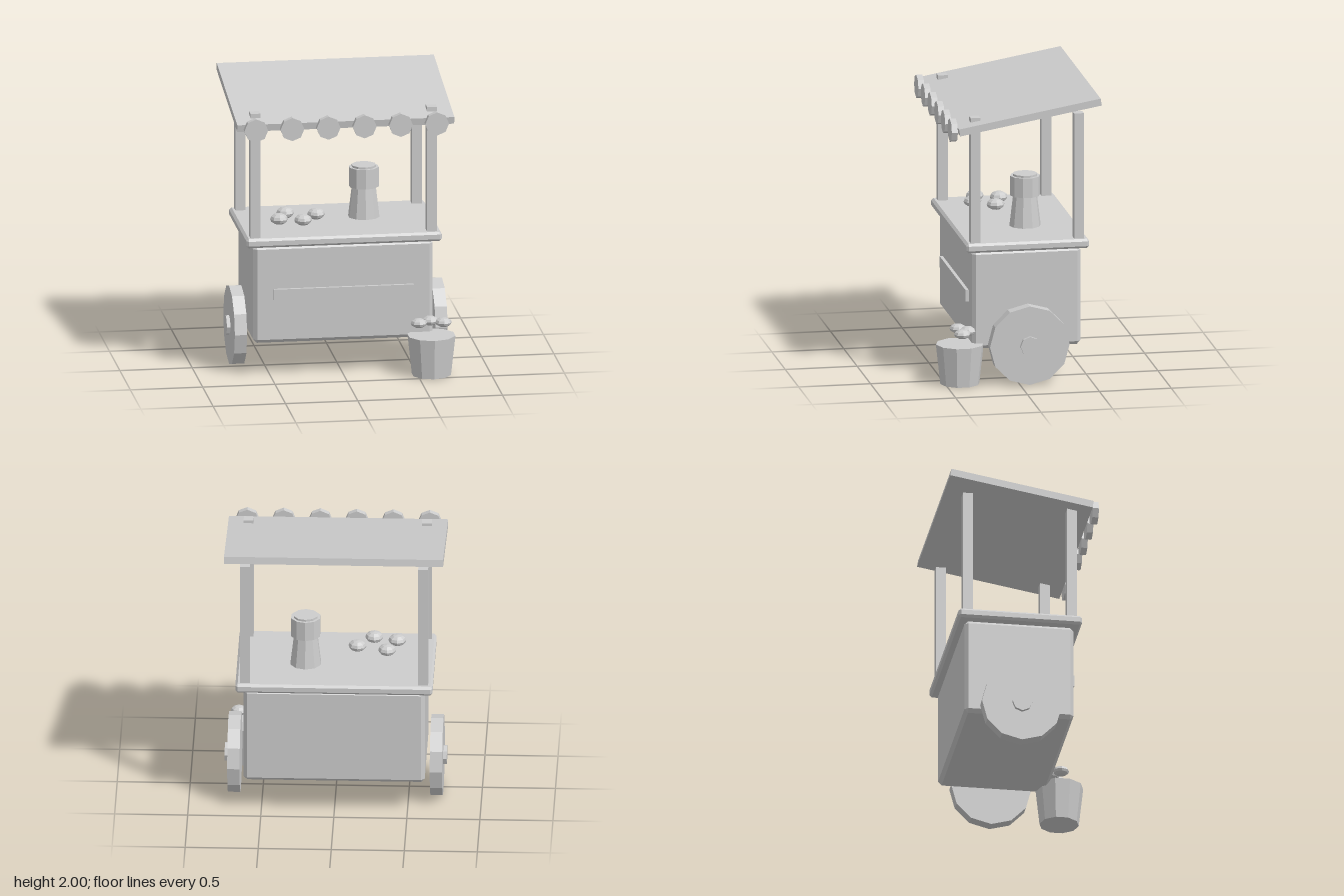
import * as THREE from 'three';
import { ConvexGeometry } from 'three/addons/geometries/ConvexGeometry.js';

const grey = new THREE.MeshStandardMaterial({ color: 0xcccccc, flatShading: true });
grey.name = 'plain grey';

// Box with chamfered edges, from three points at each corner
function chamferBox(w, h, d, c) {
  const points = [];
  for (const x of [-1, 1]) for (const y of [-1, 1]) for (const z of [-1, 1]) {
    for (const k of [0, 1, 2]) {
      points.push(new THREE.Vector3(
        x * (w / 2 - (k === 0 ? 0 : c)),
        y * (h / 2 - (k === 1 ? 0 : c)),
        z * (d / 2 - (k === 2 ? 0 : c))));
    }
  }
  return new ConvexGeometry(points);
}

export function createModel() {
  const group = new THREE.Group();
  group.name = 'vendorCart';

  const add = (name, geometry, x, y, z, parent = group) => {
    const mesh = new THREE.Mesh(geometry, grey);
    mesh.name = name;
    mesh.position.set(x, y, z);
    parent.add(mesh);
    return mesh;
  };
  const box = (w, h, d) => new THREE.BoxGeometry(w, h, d);
  const cyl = (top, bottom, h, sides) => new THREE.CylinderGeometry(top, bottom, h, sides);

  const midZ = -0.065;

  // Cart body, counter and front strip
  add('body', chamferBox(1.24, 0.69, 0.755, 0.025), 0, 0.585, midZ);
  add('counter', chamferBox(1.35, 0.065, 0.855, 0.016), 0, 0.962, midZ);
  add('frontStrip', box(0.97, 0.08, 0.04), 0, 0.585, 0.315);

  // Wheels with hubs
  for (const side of [-1, 1]) {
    const wheel = new THREE.Group();
    wheel.name = side > 0 ? 'leftWheel' : 'rightWheel';
    wheel.position.set(side * 0.693, 0.277, midZ);
    group.add(wheel);
    add('wheelDisc', cyl(0.277, 0.277, 0.085, 12), 0, 0, 0, wheel).rotation.z = Math.PI / 2;
    add('hub', cyl(0.068, 0.068, 0.1, 8), side * 0.017, 0, 0, wheel).rotation.z = Math.PI / 2;
  }

  // Roof posts; the front pair pass through the roof
  for (const x of [-0.61, 0.61]) {
    add('frontPost', box(0.068, 0.89, 0.068), x, 1.432, 0.295);
    add('backPost', box(0.068, 0.89, 0.068), x, 1.432, -0.425);
  }

  // Sloping roof with a row of scallops
  add('roof', box(1.5, 0.05, 1.0), 0, 1.89, -0.067).rotation.x = 0.174;
  for (let i = 0; i < 6; i++) {
    add('scallop', cyl(0.082, 0.082, 0.042, 8), -0.625 + i * 0.25, 1.795, 0.451).rotation.x = Math.PI / 2;
  }

  // Drinks urn on the counter
  const urn = new THREE.Group();
  urn.name = 'urn';
  urn.position.set(0.205, 0, -0.13);
  group.add(urn);
  add('urnBase', cyl(0.083, 0.11, 0.225, 10), 0, 1.1, 0, urn);
  add('urnTop', cyl(0.104, 0.104, 0.138, 10), 0, 1.278, 0, urn);
  add('urnLid', cyl(0.085, 0.085, 0.03, 10), 0, 1.346, 0, urn);

  // Buns on the counter
  const bunShape = new THREE.SphereGeometry(0.062, 8, 6).scale(1, 0.62, 1);
  for (const [x, z] of [[-0.415, 0.105], [-0.35, -0.05], [-0.255, 0.15], [-0.145, 0.01]]) {
    add('bun', bunShape, x, 1.063, z);
  }

  // Bucket holding more buns
  add('bucket', cyl(0.167, 0.136, 0.28, 10), 0.596, 0.14, 0.396);
  const smallBun = new THREE.SphereGeometry(0.057, 8, 6).scale(1, 0.57, 1);
  for (const [x, z] of [[0.51, 0.395], [0.595, 0.34], [0.68, 0.395]]) {
    add('bucketBun', smallBun, x, 0.366, z);
  }

  return group;
}
